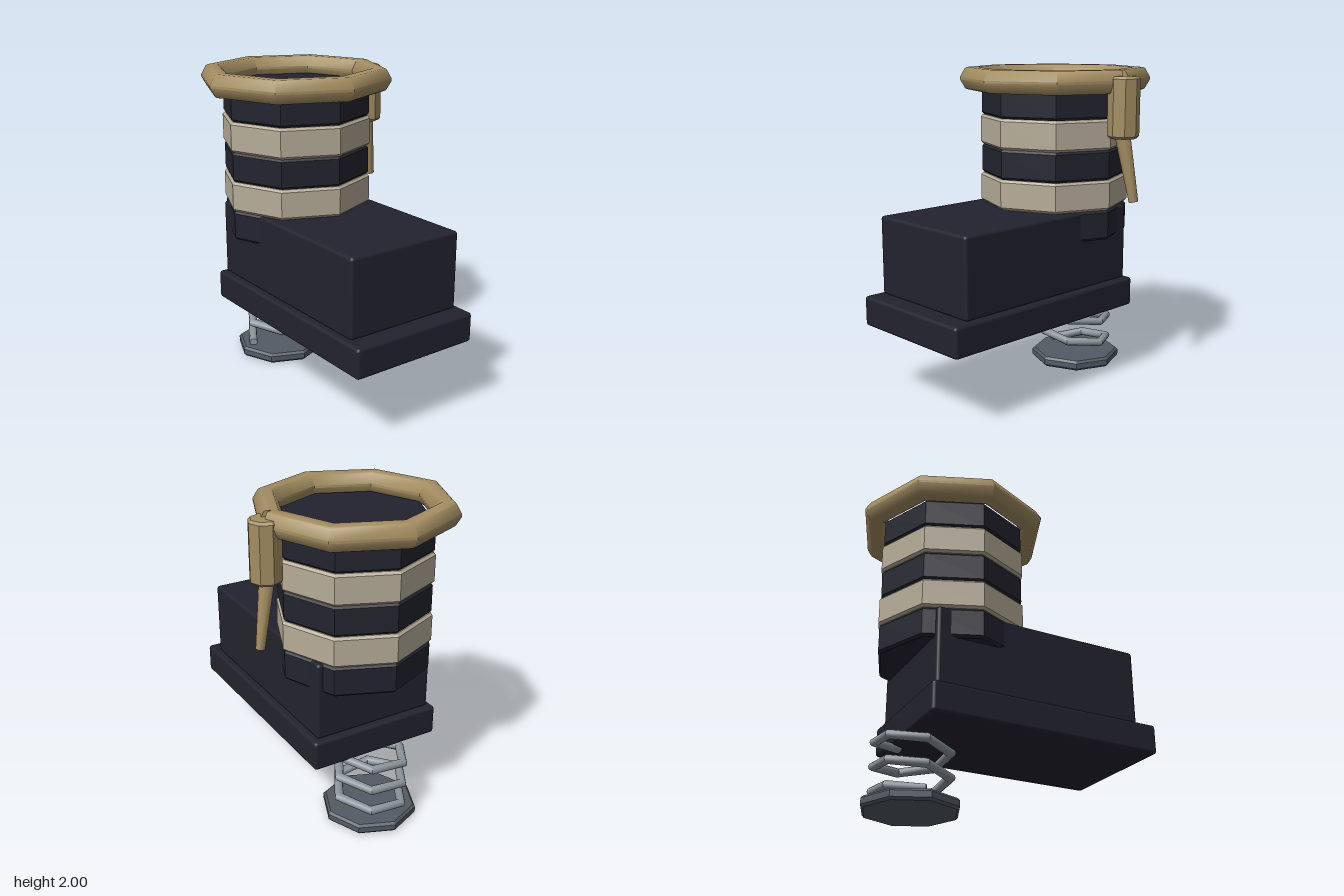
import * as THREE from 'three';
import { toCreasedNormals } from 'three/addons/utils/BufferGeometryUtils.js';
import { RoundedBoxGeometry } from 'three/addons/geometries/RoundedBoxGeometry.js';

const X = -0.035, SHAFT_Z = -0.305, SPRING_Z = -0.527;

function material(name, color) {
  const m = new THREE.MeshStandardMaterial({ color });
  m.name = name;
  return m;
}

// Eight-sided block with chamfered rims, standing on y0
function octBlock(r, y0, y1, b = 0.015) {
  const profile = [[0, y0], [r - b, y0], [r, y0 + b], [r, y1 - b], [r - b, y1], [0, y1]]
    .map(([x, y]) => new THREE.Vector2(x, y));
  return toCreasedNormals(new THREE.LatheGeometry(profile, 8), 0.3);
}

// Sweeps a profile along a polygonal coil about the y axis; joints are mitred, ends square
function coil({ radius, perTurn, steps, start, pitch, profile }) {
  const step = (Math.PI * 2) / perTurn, n = profile.length;
  const pos = [], index = [];
  for (let i = 0; i <= steps; i++) {
    const a = start + i * step;
    const end = i === 0 ? 0.5 : i === steps ? -0.5 : 0;
    const dir = a + end * step;
    const mitre = end ? 1 : 1 / Math.cos(step / 2);
    const y = (i / perTurn) * pitch;
    for (const [u, v] of profile) {
      pos.push(radius * Math.cos(a) + u * mitre * Math.cos(dir), y + v,
        radius * Math.sin(a) + u * mitre * Math.sin(dir));
    }
  }
  for (let i = 0; i < steps; i++) {
    for (let j = 0; j < n; j++) {
      const a = i * n + j, b = i * n + (j + 1) % n;
      index.push(a, b, a + n, b, b + n, a + n);
    }
  }
  const last = steps * n;
  for (let j = 1; j < n - 1; j++) {
    index.push(0, j + 1, j, last, last + j, last + j + 1);
  }
  const g = new THREE.BufferGeometry();
  g.setAttribute('position', new THREE.Float32BufferAttribute(pos, 3));
  g.setIndex(index);
  return toCreasedNormals(g, 0.77);
}

// Hexagon with cut corners, pointing outwards
function softHexagon(rx, ry) {
  const corner = (k) => [Math.cos(k * Math.PI / 3) * rx, Math.sin(k * Math.PI / 3) * ry / 0.866];
  const points = [];
  for (let k = 0; k < 6; k++) {
    const c = corner(k);
    for (const other of [corner(k - 1), corner(k + 1)]) {
      points.push([c[0] + (other[0] - c[0]) * 0.1, c[1] + (other[1] - c[1]) * 0.1]);
    }
  }
  return points;
}

function circle(r, n) {
  return Array.from({ length: n }, (_, k) => {
    const a = (k / n) * Math.PI * 2;
    return [Math.cos(a) * r, Math.sin(a) * r];
  });
}

export function createModel() {
  const model = new THREE.Group();
  model.name = 'springBoot';
  const dark = material('dark navy', 0x23232f);
  const cream = material('cream', 0xb6ac98);
  const gold = material('dull gold', 0xa48e62);
  const steel = material('spring steel', 0x8d969c);
  const slate = material('slate grey', 0x535b65);

  const add = (name, geometry, mat, x = 0, y = 0, z = 0) => {
    const mesh = new THREE.Mesh(geometry, mat);
    mesh.name = name;
    mesh.position.set(x, y, z);
    model.add(mesh);
    return mesh;
  };
  const box = (name, x0, x1, y0, y1, z0, z1) =>
    add(name, new RoundedBoxGeometry(x1 - x0, y1 - y0, z1 - z0, 2, 0.02), dark,
      (x0 + x1) / 2, (y0 + y1) / 2, (z0 + z1) / 2);

  // Foot and sole
  box('sole', -0.467, 0.397, 0.458, 0.645, -0.598, 0.908);
  box('foot', -0.43, 0.36, 0.645, 1.135, -0.562, 0.797);

  // Striped shaft
  const levels = [0.95, 1.138, 1.326, 1.513, 1.702, 1.89];
  for (let i = 0; i < 5; i++) {
    const light = i % 2 === 1;
    add(light ? 'lightBand' : 'darkBand',
      octBlock(light ? 0.475 : 0.467, levels[i], levels[i + 1]), light ? cream : dark, X, 0, SHAFT_Z);
  }

  // Cuff rim, with its seam at the buckle
  add('cuffRim', coil({
    radius: 0.529, perTurn: 8, steps: 8, start: 0, pitch: 0, profile: softHexagon(0.075, 0.07),
  }), gold, X, 1.93, SHAFT_Z);

  // Buckle and its hanging tapered strap
  add('buckle', octBlock(0.097, 1.595, 1.965), gold, 0.537, 0, SHAFT_Z);
  const top = new THREE.Vector3(0.533, 1.62, -0.303);
  const tip = new THREE.Vector3(0.604, 1.21, -0.338);
  const axis = top.clone().sub(tip);
  const strap = add('strap',
    toCreasedNormals(new THREE.CylinderGeometry(0.048, 0.029, axis.length(), 8), 0.9), gold);
  strap.position.copy(top).add(tip).multiplyScalar(0.5);
  strap.quaternion.setFromUnitVectors(new THREE.Vector3(0, 1, 0), axis.normalize());

  // Spring and foot plate under the heel
  add('spring', coil({
    radius: 0.222, perTurn: 6, steps: 15, start: Math.PI, pitch: 0.149, profile: circle(0.027, 10),
  }), steel, X, 0.083, SPRING_Z);
  add('springPlate', octBlock(0.297, 0, 0.066), slate, X, 0, SPRING_Z);

  return model;
}
